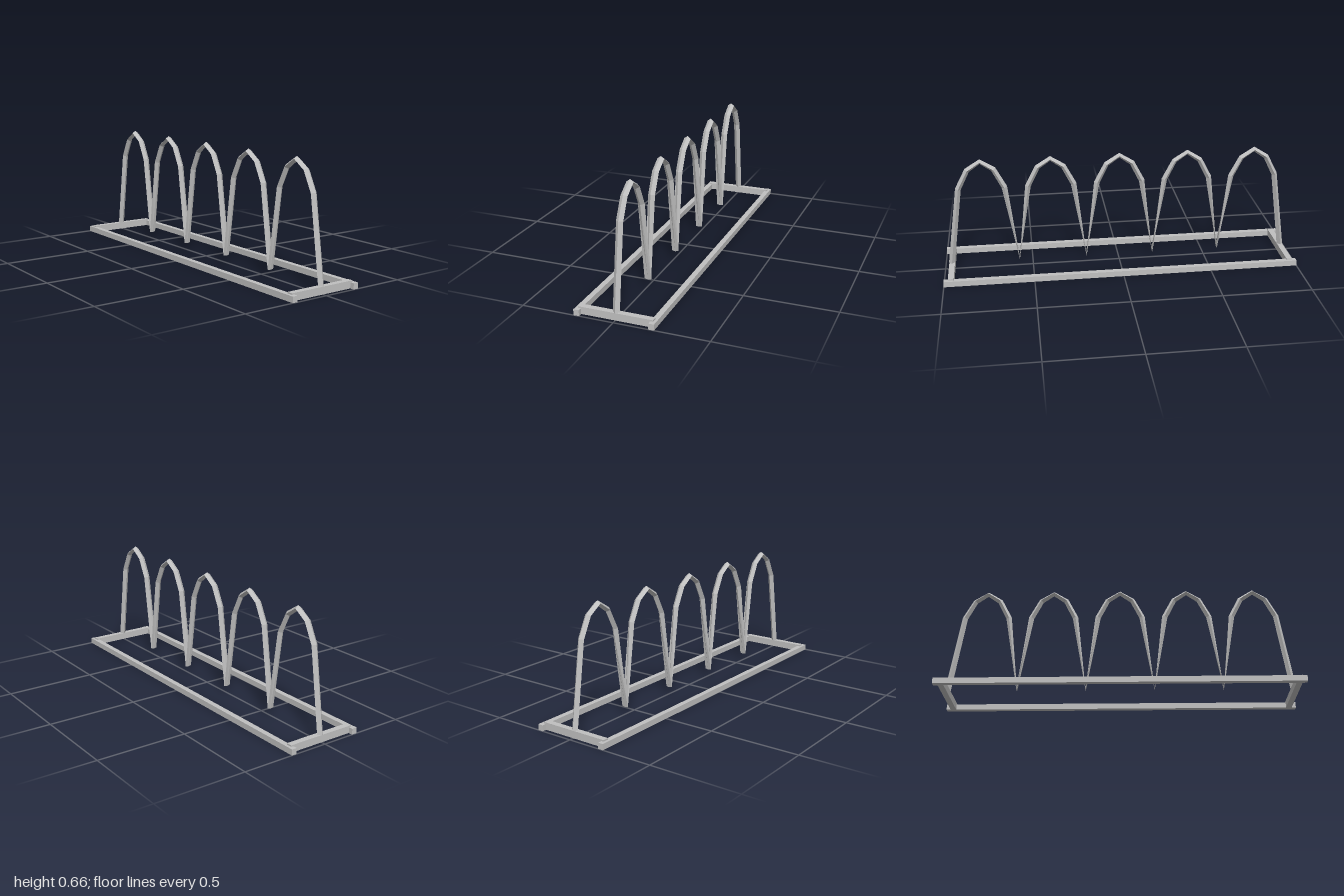
import * as THREE from 'three';

const steel = new THREE.MeshStandardMaterial({ color: 0xc0c0c0, flatShading: true });
steel.name = 'galvanised grey';

const HOOPS = 5, PITCH = 0.384, HALF_WIDTH = 0.019;

// Centre line of the hoops as [z, y, half thickness], running from front to back
function hoopPath() {
  const arch = [[0.127, 0.49, 0.016], [0.072, 0.598, 0.015], [0, 0.646, 0.014],
    [-0.072, 0.598, 0.015], [-0.127, 0.49, 0.016]];
  const path = [[0.961, 0.038, 0.017]];
  for (let i = 0; i < HOOPS; i++) {
    const centre = (2 - i) * PITCH;
    for (const [z, y, h] of arch) path.push([centre + z, y, h]);
    // legs of neighbouring hoops meet in a pinched fold
    if (i < HOOPS - 1) path.push([centre - PITCH / 2, 0.043, 0.004]);
  }
  path.push([-0.961, 0.038, 0.017]);
  return path;
}

// Sweep a diamond section along the path with mitred corners
function sweepDiamond(path) {
  const dir = (a, b) => new THREE.Vector2(b[0] - a[0], b[1] - a[1]).normalize();
  const positions = [], index = [];
  path.forEach(([z, y, h], i) => {
    const t = new THREE.Vector2();
    if (i > 0) t.add(dir(path[i - 1], path[i]));
    if (i < path.length - 1) t.add(dir(path[i], path[i + 1]));
    t.normalize();
    const nz = t.y * h, ny = -t.x * h;
    positions.push(HALF_WIDTH, y, z, 0, y + ny, z + nz, -HALF_WIDTH, y, z, 0, y - ny, z - nz);
    if (i === 0) return;
    for (let k = 0; k < 4; k++) {
      const a = (i - 1) * 4 + k, b = (i - 1) * 4 + (k + 1) % 4;
      index.push(a, a + 4, b + 4, a, b + 4, b);
    }
  });
  // end caps
  const e = (path.length - 1) * 4;
  index.push(0, 1, 2, 0, 2, 3, e, e + 2, e + 1, e, e + 3, e + 2);
  const geometry = new THREE.BufferGeometry();
  geometry.setAttribute('position', new THREE.Float32BufferAttribute(positions, 3));
  geometry.setIndex(index);
  const flat = geometry.toNonIndexed();
  flat.computeVertexNormals();
  return flat;
}

function bar(name, w, h, d, x, z) {
  const mesh = new THREE.Mesh(new THREE.BoxGeometry(w, h, d), steel);
  mesh.name = name;
  mesh.position.set(x, h / 2, z);
  return mesh;
}

export function createModel() {
  const rack = new THREE.Group();
  rack.name = 'bicycleRack';

  // Ground frame: two long rails and two cross bars
  for (const s of [1, -1]) {
    rack.add(bar(s > 0 ? 'leftRail' : 'rightRail', 0.03, 0.032, 2, s * 0.2, 0));
    rack.add(bar(s > 0 ? 'frontCrossBar' : 'backCrossBar', 0.4, 0.04, 0.032, 0, s * 0.96));
  }

  // Continuous bent tube forming the hoops
  const hoops = new THREE.Mesh(sweepDiamond(hoopPath()), steel);
  hoops.name = 'hoops';
  rack.add(hoops);
  return rack;
}
